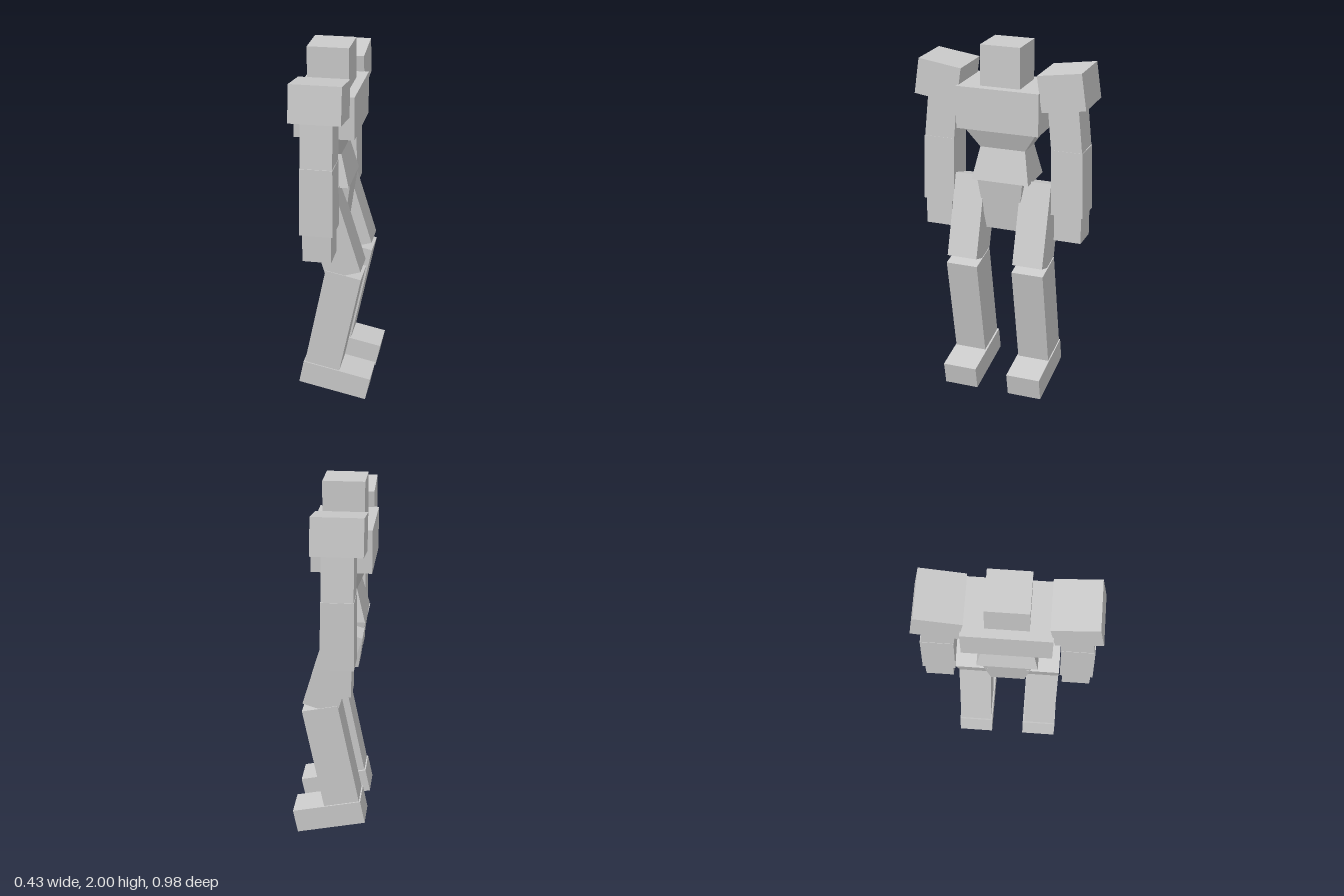
import * as THREE from 'three';

const material = new THREE.MeshStandardMaterial({ color: 0xcccccc, flatShading: true });

function add(parent, name, geometry) {
  const mesh = new THREE.Mesh(geometry, material);
  mesh.name = name;
  parent.add(mesh);
  return mesh;
}

function box(parent, name, size, position, rx = 0, rz = 0) {
  const mesh = add(parent, name, new THREE.BoxGeometry(...size));
  mesh.position.set(...position);
  mesh.rotation.set(THREE.MathUtils.degToRad(rx), 0, THREE.MathUtils.degToRad(rz));
  return mesh;
}

// Block whose ends are rectangles [y, xMin, xMax, zMin, zMax]
function taper(parent, name, bottom, top) {
  const geometry = new THREE.BoxGeometry(1, 1, 1);
  const p = geometry.attributes.position;
  for (let i = 0; i < p.count; i++) {
    const [y, x0, x1, z0, z1] = p.getY(i) > 0 ? top : bottom;
    p.setXYZ(i, p.getX(i) > 0 ? x1 : x0, y, p.getZ(i) > 0 ? z1 : z0);
  }
  geometry.computeVertexNormals();
  return add(parent, name, geometry);
}

export function createModel() {
  const model = new THREE.Group();
  model.name = 'blockRobot';

  // Head and torso (the figure looks along +x)
  box(model, 'head', [0.225, 0.225, 0.226], [-0.053, 1.888, 0]);
  box(model, 'chest', [0.325, 0.235, 0.468], [-0.053, 1.658, 0]);
  const narrow = [1.42, -0.128, 0.022, -0.13, 0.13];
  taper(model, 'upperWaist', narrow, [1.54, -0.175, 0.068, -0.21, 0.21]);
  taper(model, 'lowerWaist', [1.24, -0.175, 0.068, -0.165, 0.165], narrow);
  taper(model, 'pelvis', [0.95, -0.135, 0.028, -0.093, 0.093], [1.24, -0.175, 0.068, -0.13, 0.13]);

  // Arms and legs on both sides
  for (const s of [1, -1]) {
    const end = (y, x0, x1, inner, outer) =>
      [y, x0, x1, Math.min(s * inner, s * outer), Math.max(s * inner, s * outer)];

    const arm = new THREE.Group();
    arm.name = s > 0 ? 'armNear' : 'armFar';
    box(arm, 'shoulder', [0.275, 0.2, 0.247], [-0.053, 1.785, s * 0.351], -8.2 * s);
    taper(arm, 'upperArm', end(1.44, -0.138, 0.032, 0.282, 0.456), end(1.72, -0.138, 0.032, 0.257, 0.428));
    taper(arm, 'forearm', end(1.08, -0.143, 0.037, 0.287, 0.467), end(1.45, -0.14, 0.034, 0.282, 0.459));
    box(arm, 'hand', [0.155, 0.17, 0.154], [-0.051, 1.013, s * 0.38]);
    model.add(arm);

    const leg = new THREE.Group();
    leg.name = s > 0 ? 'legNear' : 'legFar';
    box(leg, 'thigh', [0.195, 0.47, 0.174], [-0.008, 0.996, s * 0.193], 0, 17);
    box(leg, 'shin', [0.2, 0.592, 0.182], [-0.001, 0.485, s * 0.194], 0, -11.7);
    box(leg, 'foot', [0.388, 0.134, 0.196], [0.01, 0.11, s * 0.192], 0, -11.7);
    model.add(leg);
  }
  return model;
}
